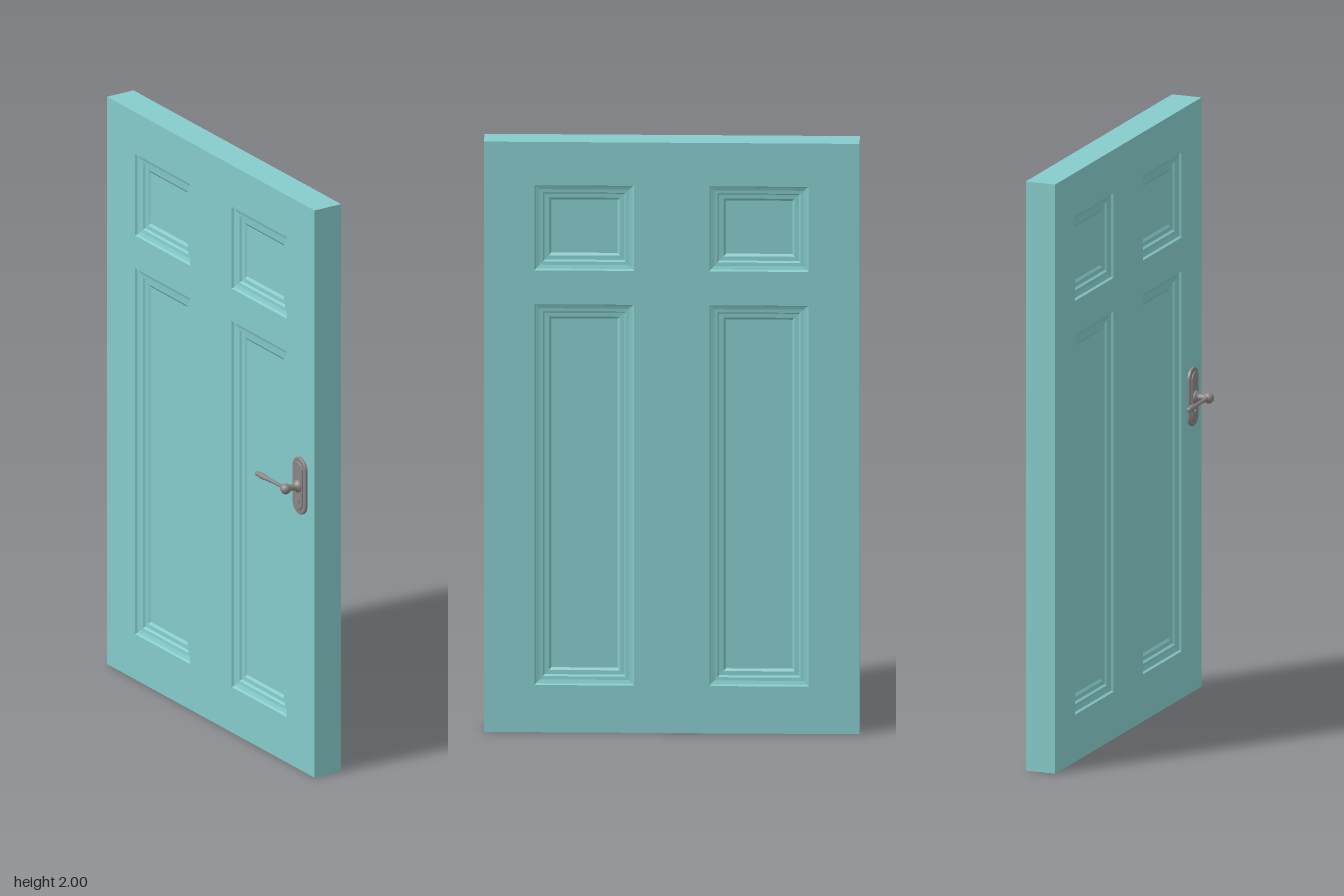
import * as THREE from 'three';

const T = 0.105, W = 1.234, H = 2, DOOR_X = 0.0375;
const paint = new THREE.MeshStandardMaterial({ color: 0x86cbcb });
const metal = new THREE.MeshStandardMaterial({ color: 0x8a8585 });

// Panel openings: [centre across, bottom, top], all of the same width
const PANEL_W = 0.326;
const PANELS = [-1, 1].flatMap((s) => [[s * 0.287, 0.16, 1.45], [s * 0.287, 1.565, 1.853]]);

// Moulding profile: [inset from the opening, depth below the face]
const MOULDING = [[0, 0], [0.004, 0.008], [0.016, 0.012], [0.027, 0.013], [0.032, 0.02], [0.046, 0.021], [0.054, 0.027]];

function mesh(name, geometry, material) {
  const m = new THREE.Mesh(geometry, material);
  m.name = name;
  return m;
}

function rectangle(path, x0, y0, x1, y1) {
  return path.moveTo(x0, y0).lineTo(x1, y0).lineTo(x1, y1).lineTo(x0, y1).closePath();
}

// Stepped mouldings sinking to a flat field, facing +z
function panelGeometry([c, y0, y1]) {
  const loops = MOULDING.map(([i, d]) => {
    const l = c - PANEL_W / 2 + i, r = c + PANEL_W / 2 - i, z = T / 2 - d;
    return [[l, y0 + i, z], [r, y0 + i, z], [r, y1 - i, z], [l, y1 - i, z]];
  });
  const pos = [];
  const quad = (a, b, c2, d) => pos.push(...a, ...b, ...c2, ...a, ...c2, ...d);
  for (let k = 0; k < loops.length - 1; k++) {
    const a = loops[k], b = loops[k + 1];
    for (let i = 0; i < 4; i++) quad(a[i], a[(i + 1) % 4], b[(i + 1) % 4], b[i]);
  }
  quad(...loops.at(-1));
  const g = new THREE.BufferGeometry();
  g.setAttribute('position', new THREE.Float32BufferAttribute(pos, 3));
  g.computeVertexNormals();
  return g;
}

function createDoor() {
  const door = new THREE.Group();
  door.name = 'door';
  const outline = rectangle(new THREE.Shape(), -W / 2, 0, W / 2, H);
  for (const [c, y0, y1] of PANELS) {
    outline.holes.push(rectangle(new THREE.Path(), c - PANEL_W / 2, y0, c + PANEL_W / 2, y1));
  }
  const frame = new THREE.ExtrudeGeometry(outline, { depth: T, bevelEnabled: false });
  door.add(mesh('doorFrame', frame.translate(0, 0, -T / 2), paint));
  // The same panels on both faces
  for (const turn of [0, Math.PI]) {
    for (const p of PANELS) {
      const panel = mesh('panel', panelGeometry(p), paint);
      panel.rotation.y = turn;
      door.add(panel);
    }
  }
  door.rotation.y = Math.PI / 2;
  door.position.x = DOOR_X;
  return door;
}

// Lathe from [radius, distance along the axis] pairs
function lathe(points, segments = 20) {
  return new THREE.LatheGeometry(points.map(([r, y]) => new THREE.Vector2(r, y)), segments);
}

// Upright plate with round ends, rising along +z
function plateGeometry(radius, half, depth, bevel) {
  const r = radius - bevel, s = new THREE.Shape();
  s.absarc(0, half - radius, r, 0, Math.PI);
  s.absarc(0, radius - half, r, Math.PI, Math.PI * 2);
  s.closePath();
  return new THREE.ExtrudeGeometry(s, {
    depth: depth - bevel, bevelThickness: bevel, bevelSize: bevel, bevelSegments: 3, curveSegments: 16,
  });
}

function createHandle() {
  const handle = new THREE.Group();
  handle.name = 'handle';

  const plate = mesh('backPlate', plateGeometry(0.039, 0.1, 0.009, 0.004), metal);
  const raised = mesh('raisedPlate', plateGeometry(0.025, 0.084, 0.013, 0.003), metal);
  for (const p of [plate, raised]) p.rotation.y = -Math.PI / 2;

  // Collar and neck stand out from the door
  const neck = mesh('neck', lathe([
    [0.022, 0], [0.022, 0.014], [0.019, 0.019], [0.013, 0.023], [0.011, 0.03],
    [0.011, 0.044], [0.014, 0.05], [0.014, 0.06], [0, 0.062],
  ]), metal);
  neck.rotation.z = Math.PI / 2;

  const knuckle = mesh('knuckle', new THREE.SphereGeometry(0.018, 20, 14), metal);
  knuckle.position.x = -0.06;

  // Lever reaches towards the middle of the door, swelling at the grip
  const lever = mesh('lever', lathe([
    [0.012, 0], [0.009, 0.02], [0.0065, 0.035], [0.006, 0.06], [0.007, 0.1],
    [0.0095, 0.13], [0.0105, 0.145], [0.008, 0.152], [0.0085, 0.168], [0.006, 0.172], [0, 0.173],
  ]), metal);
  lever.rotation.x = -Math.PI / 2;
  lever.rotation.z = 0.02;
  lever.position.x = -0.057;

  // Lock cylinder below the lever
  const lock = mesh('lockCylinder', new THREE.CylinderGeometry(0.011, 0.011, 0.016, 20), metal);
  lock.rotation.z = Math.PI / 2;
  lock.position.set(-0.008, -0.05, 0);

  handle.add(plate, raised, neck, knuckle, lever, lock);
  handle.position.set(DOOR_X - T / 2, 1.005, 0.536);
  return handle;
}

export function createModel() {
  const model = new THREE.Group();
  model.name = 'panelledDoor';
  model.add(createDoor(), createHandle());
  return model;
}
